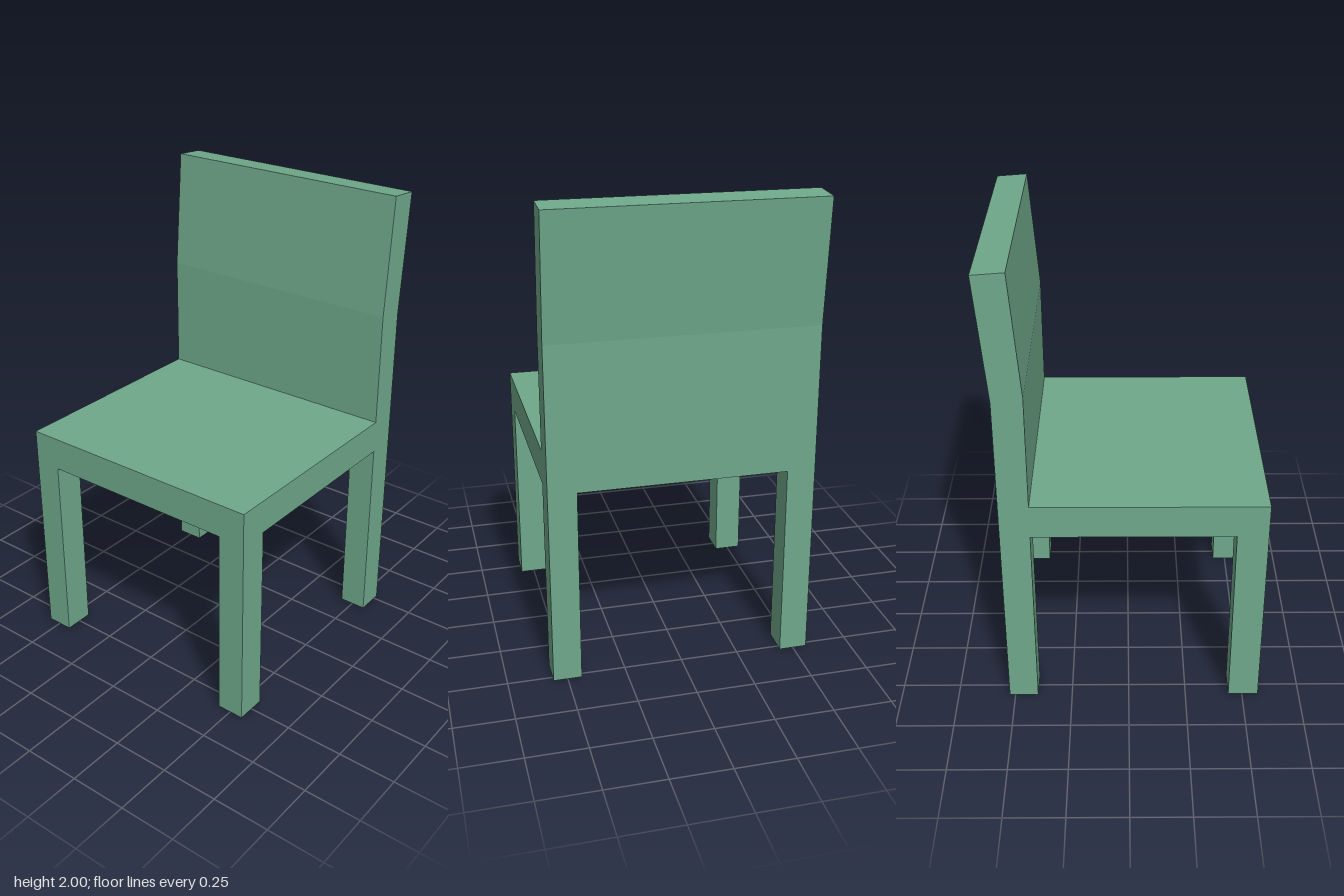
import * as THREE from 'three';

const HALF_W = 0.56;           // half the chair width
const SEAT_BOTTOM = 0.85, SEAT_TOP = 0.995;
const FRONT = 0.57, BACK_FACE = -0.4, BACK_REAR = -0.525;

export function createModel() {
  const chair = new THREE.Group();
  chair.name = 'chair';
  const material = new THREE.MeshStandardMaterial({ color: 0x6fa88a, flatShading: true });

  function add(name, geometry) {
    const mesh = new THREE.Mesh(geometry, material);
    mesh.name = name;
    chair.add(mesh);
  }

  // Box given by its extents
  function box(name, x0, x1, y0, y1, z0, z1) {
    const geometry = new THREE.BoxGeometry(x1 - x0, y1 - y0, z1 - z0);
    geometry.translate((x0 + x1) / 2, (y0 + y1) / 2, (z0 + z1) / 2);
    add(name, geometry);
  }

  // Seat slab
  box('seat', -HALF_W, HALF_W, SEAT_BOTTOM, SEAT_TOP, BACK_FACE, FRONT);

  // Four square legs
  for (const [side, x] of [['left', 0.5], ['right', -0.5]]) {
    box(side + 'FrontLeg', x - 0.06, x + 0.06, 0, SEAT_BOTTOM, 0.44, FRONT);
    box(side + 'BackLeg', x - 0.06, x + 0.06, 0, SEAT_BOTTOM, BACK_REAR, BACK_FACE);
  }

  // Backrest: side profile in (z, y), upright below and leaning back above
  const profile = new THREE.Shape([
    [BACK_REAR, SEAT_BOTTOM], [BACK_FACE, SEAT_BOTTOM], [BACK_FACE, 1.49],
    [-0.44, 2], [-0.57, 1.99], [BACK_REAR, 1.47],
  ].map(([z, y]) => new THREE.Vector2(z, y)));
  const backrest = new THREE.ExtrudeGeometry(profile, { depth: 2 * HALF_W, bevelEnabled: false });
  backrest.translate(0, 0, -HALF_W).rotateY(-Math.PI / 2);
  add('backrest', backrest);

  return chair;
}
